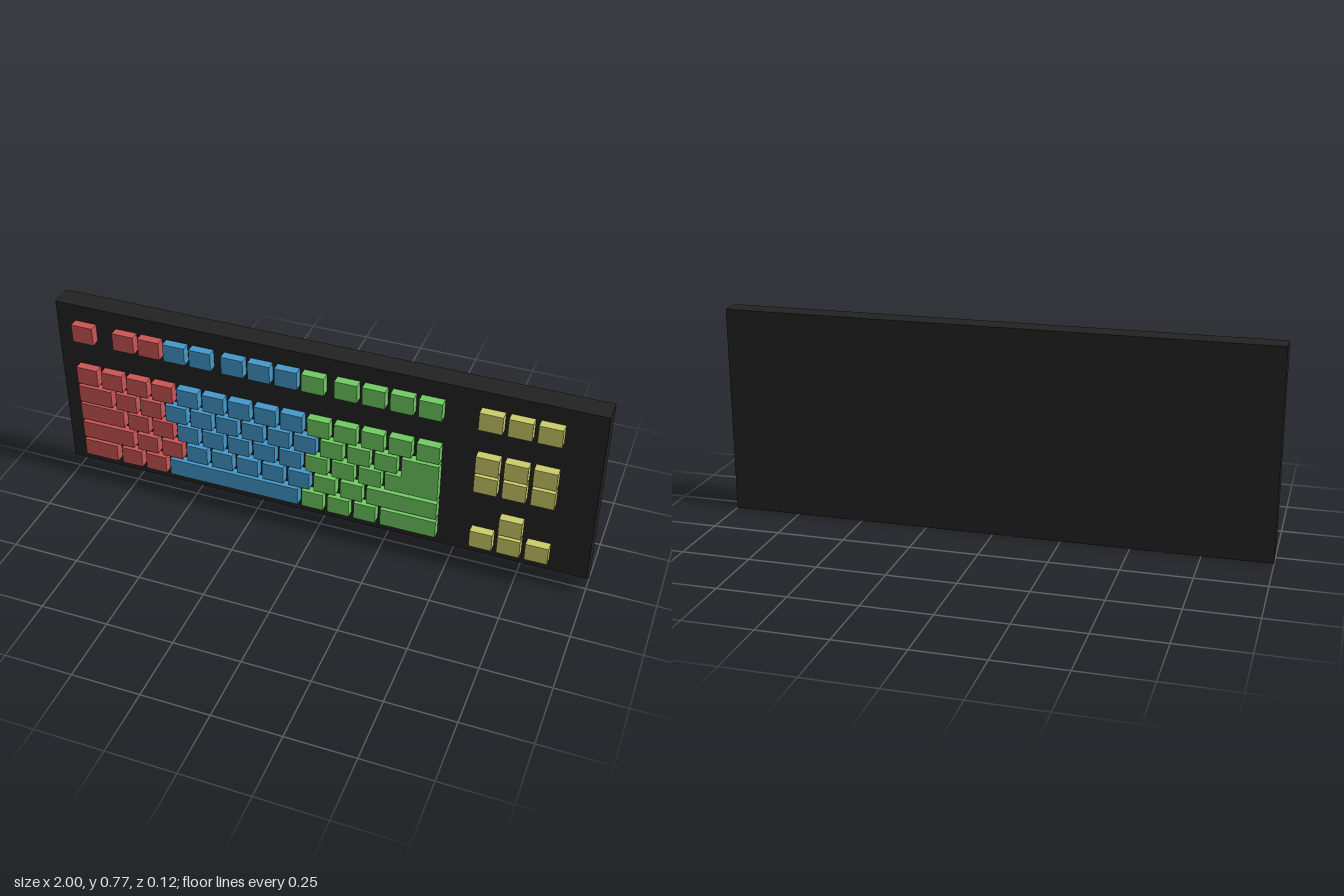
import * as THREE from 'three';

const FRONT = 0.027, KEY_DEPTH = 0.033, KEY_W = 0.082, KEY_H = 0.07, PITCH = 0.1;

const material = (color) => new THREE.MeshStandardMaterial({ color, flatShading: true });

function extrude(points, depth) {
  const shape = new THREE.Shape(points.map(([x, y]) => new THREE.Vector2(x, y)));
  return new THREE.ExtrudeGeometry(shape, { depth, bevelEnabled: false });
}

export function createModel() {
  const model = new THREE.Group();
  const mats = {
    red: material(0xcc5555),
    blue: material(0x4499cc),
    green: material(0x70cc62),
    yellow: material(0xcccc6a),
  };

  // Case: side profile (z, y) swept across the width, with a bevelled lower front edge
  const caseGeo = extrude([[-0.057, 0], [FRONT, 0.073], [FRONT, 0.767], [-0.057, 0.767]], 2);
  caseGeo.translate(0, 0, -1).rotateY(-Math.PI / 2);
  const body = new THREE.Mesh(caseGeo, material(0x222222));
  body.name = 'case';
  model.add(body);

  // Rows: bottom edge y, then runs of equal keys [colour, left x, count, width]
  const rows = [
    { name: 'functionRow', y: 0.632, runs: [
      ['red', -0.927, 1], ['red', -0.766, 2], ['blue', -0.568, 2], ['blue', -0.346, 3],
      ['green', -0.047, 1], ['green', 0.073, 4], ['yellow', 0.58, 3]] },
    { name: 'numberRow', y: 0.45, runs: [
      ['red', -0.927, 4], ['blue', -0.527, 5], ['green', -0.027, 5], ['yellow', 0.58, 3]] },
    { name: 'upperLetterRow', y: 0.368, runs: [
      ['red', -0.927, 1, 0.132], ['red', -0.777, 2], ['blue', -0.577, 6],
      ['green', 0.023, 3], ['yellow', 0.58, 3]] },
    { name: 'homeRow', y: 0.288, runs: [
      ['red', -0.927, 1, 0.175], ['red', -0.734, 2], ['blue', -0.534, 5], ['green', -0.034, 3]] },
    { name: 'lowerLetterRow', y: 0.204, runs: [
      ['red', -0.927, 1, 0.207], ['red', -0.702, 2], ['blue', -0.502, 5],
      ['green', -0.002, 2], ['green', 0.197, 1, 0.259], ['yellow', 0.68, 1]] },
    { name: 'spaceRow', y: 0.121, runs: [
      ['red', -0.927, 1, 0.134], ['red', -0.773, 2], ['blue', -0.573, 1, 0.508],
      ['green', -0.05, 3], ['green', 0.25, 1, 0.206], ['yellow', 0.58, 3]] },
  ];
  for (const { name, y, runs } of rows) {
    const row = new THREE.Group();
    row.name = name;
    for (const [color, left, count, width = KEY_W] of runs) {
      const geo = new THREE.BoxGeometry(width, KEY_H, KEY_DEPTH);
      for (let i = 0; i < count; i++) {
        const key = new THREE.Mesh(geo, mats[color]);
        key.name = `${color}Key`;
        key.position.set(left + width / 2 + i * PITCH, y + KEY_H / 2, FRONT + KEY_DEPTH / 2);
        row.add(key);
      }
    }
    model.add(row);
  }

  // L-shaped enter key spanning two rows
  const enter = new THREE.Mesh(extrude([
    [0.263, 0.288], [0.456, 0.288], [0.456, 0.438],
    [0.322, 0.438], [0.322, 0.358], [0.263, 0.358]], KEY_DEPTH), mats.green);
  enter.name = 'enterKey';
  enter.position.z = FRONT;
  model.add(enter);

  return model;
}
